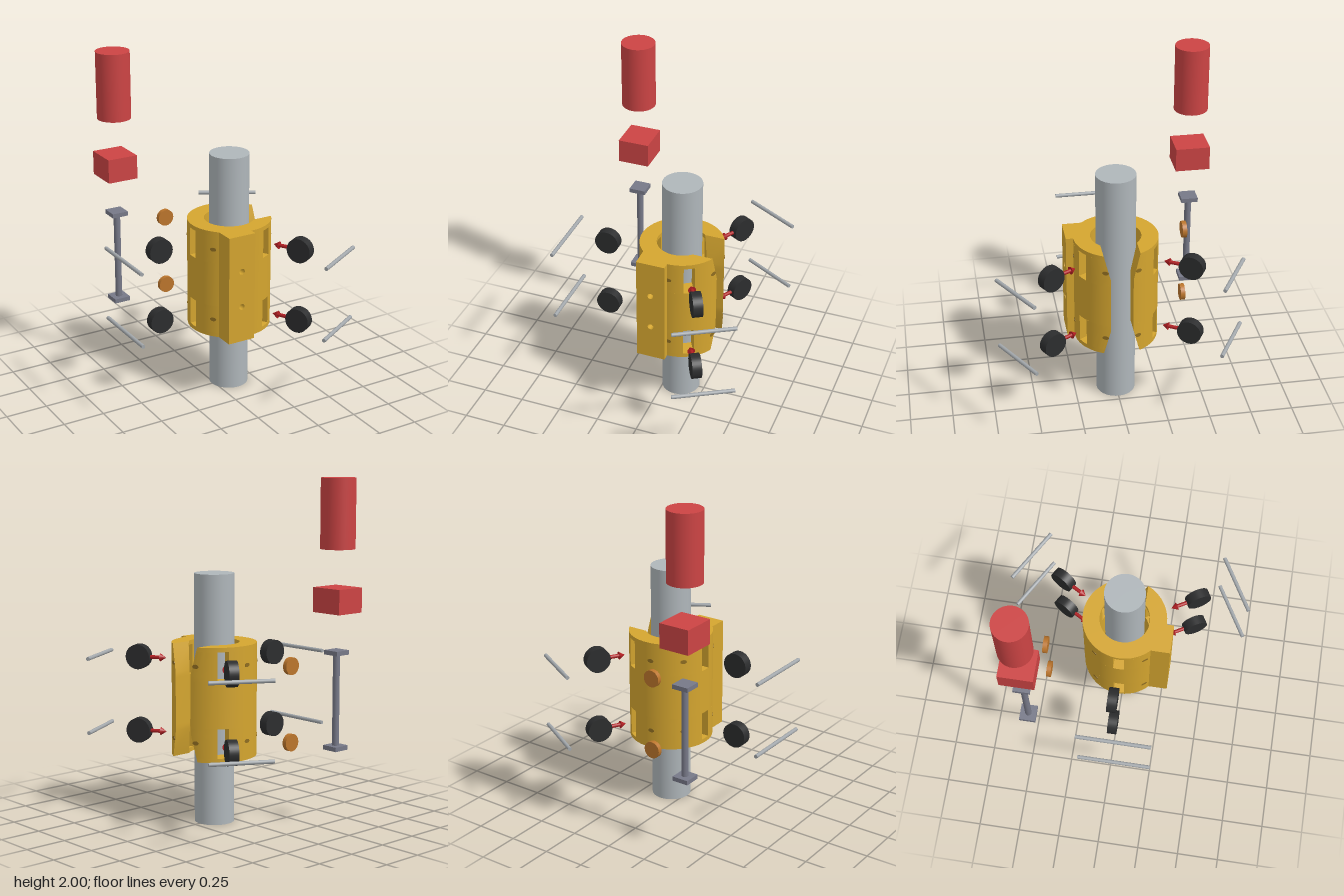
import * as THREE from 'three';
import { toCreasedNormals } from 'three/addons/utils/BufferGeometryUtils.js';

const mat = (name, color) => {
  const m = new THREE.MeshStandardMaterial({ color });
  m.name = name;
  return m;
};
const rad = THREE.MathUtils.degToRad;

// Shared layout: the pipe axis sits at x = CX
const CX = 0.1, R_OUT = 0.246, R_IN = 0.147;
const LEVELS = [0.51, 0.95];
const ARMS = [60, 180, 300];

// Split sleeve: ring with a flared slot at +x and three pairs of wheel windows
function sleeveGeometry() {
  const pos = [];
  const quad = (a, b, c, d) => [a, b, c, a, c, d].forEach(p => pos.push(...p));
  const slotHalf = y => 0.065 + 0.04 * Math.max(0, (Math.abs(y - 0.73) - 0.17) / 0.16);
  const W = 0.0325;
  const slotA = { deg: 0, off: slotHalf }, slotB = { deg: 360, off: y => -slotHalf(y) };
  const edge = (deg, off) => ({ deg, off: () => off });
  const solid = [[slotA, slotB]];
  const cut = [
    [slotA, edge(60, -W)], [edge(60, W), edge(180, -W)],
    [edge(180, W), edge(300, -W)], [edge(300, W), slotB],
  ];
  const ys = [0.4, 0.425, 0.56, 0.595, 0.865, 0.9, 1.035, 1.06];
  for (let k = 0; k < ys.length - 1; k++) {
    const y0 = ys[k], y1 = ys[k + 1], mid = (y0 + y1) / 2;
    const windowed = LEVELS.some(l => Math.abs(mid - l) < 0.085);
    for (const [e0, e1] of windowed ? cut : solid) {
      const n = Math.ceil((e1.deg - e0.deg) / 5);
      const point = (r, y, j) => {
        const a = rad(e0.deg) + Math.asin(e0.off(y) / r);
        const b = rad(e1.deg) + Math.asin(e1.off(y) / r);
        const t = a + (b - a) * j / n;
        return [CX + r * Math.cos(t), y, r * Math.sin(t)];
      };
      const corners = j => ({
        ob: point(R_OUT, y0, j), ib: point(R_IN, y0, j),
        ot: point(R_OUT, y1, j), it: point(R_IN, y1, j),
      });
      for (let j = 0; j < n; j++) {
        const p = corners(j), q = corners(j + 1);
        quad(q.ob, p.ob, p.ot, q.ot);
        quad(p.ib, q.ib, q.it, p.it);
        quad(p.ot, p.it, q.it, q.ot);
        quad(q.ob, q.ib, p.ib, p.ob);
      }
      const s = corners(0), f = corners(n);
      quad(s.ob, s.ib, s.it, s.ot);
      quad(f.ot, f.it, f.ib, f.ob);
    }
  }
  const g = new THREE.BufferGeometry();
  g.setAttribute('position', new THREE.Float32BufferAttribute(pos, 3));
  return toCreasedNormals(g, 0.5);
}

// Mounting block with two screw holes
function blockGeometry() {
  const s = new THREE.Shape();
  s.moveTo(-0.072, 0.4).lineTo(CX, 0.4).lineTo(CX, 1.06).lineTo(-0.072, 1.06).closePath();
  for (const y of [0.62, 0.84]) {
    s.holes.push(new THREE.Path().absarc(0.014, y, 0.018, 0, Math.PI * 2, true));
  }
  return new THREE.ExtrudeGeometry(s, { depth: 0.117, bevelEnabled: false, curveSegments: 16 })
    .translate(0, 0, 0.172);
}

export function createModel() {
  const model = new THREE.Group();
  const gold = mat('gold', 0xd4a52f), holeGold = mat('dark gold', 0x8f6d20);
  const pipeGrey = mat('pipe grey', 0xafb6ba), steel = mat('steel', 0xa2a7ab);
  const rubber = mat('black rubber', 0x2c2d2e), red = mat('red', 0xcc4444);
  const arrowRed = mat('deep red', 0xb01e22), bronze = mat('bronze', 0xbb752c);
  const slate = mat('slate', 0x777988);

  const add = (name, geo, material, x = 0, y = 0, z = 0, parent = model) => {
    const m = new THREE.Mesh(geo, material);
    m.name = name;
    m.position.set(x, y, z);
    parent.add(m);
    return m;
  };
  const cyl = (r, h, n = 32) => new THREE.CylinderGeometry(r, r, h, n);

  add('pipe', cyl(0.116, 1.457, 48), pipeGrey, CX, 0.7285, 0);
  add('sleeve', sleeveGeometry(), gold);
  add('mountingBlock', blockGeometry(), gold);

  // Wheel sets: each arm points outward along its local +x
  const wheelGeo = cyl(0.073, 0.056, 40).rotateX(Math.PI / 2);
  const shaftGeo = cyl(0.011, 0.09, 16).rotateZ(Math.PI / 2);
  const headGeo = new THREE.ConeGeometry(0.023, 0.036, 20).rotateZ(Math.PI / 2);
  const holeGeo = cyl(0.012, 0.004, 16).rotateZ(Math.PI / 2).scale(1, 1, 1.6);
  for (const deg of ARMS) {
    for (const y of LEVELS) {
      const arm = new THREE.Group();
      arm.name = 'wheelSet';
      arm.position.set(CX, y, 0);
      arm.rotation.y = -rad(deg);
      model.add(arm);
      const long = deg === 180;
      add('wheel', wheelGeo, rubber, 0.465, 0, 0, arm);
      add('axle', cyl(0.0115, long ? 0.44 : 0.362, 16).rotateX(Math.PI / 2), steel,
        0.713, 0, long ? -0.04 : 0, arm);
      if (!long) {
        add('arrowShaft', shaftGeo, arrowRed, 0.37, 0, 0, arm);
        add('arrowHead', headGeo, arrowRed, 0.313, 0, 0, arm);
      }
      // Axle holes on the sleeve either side of the window
      for (const side of [-1, 1]) {
        const spread = deg === 60 && side === 1 ? 28.5 : 37.3;
        const a = rad(deg + side * spread);
        const hole = add('axleHole', holeGeo, holeGold,
          CX + R_OUT * Math.cos(a), y, R_OUT * Math.sin(a));
        hole.rotation.y = -a;
      }
    }
  }

  // Bronze plugs behind the sleeve
  for (const y of LEVELS) {
    add('plug', cyl(0.05, 0.027).rotateX(Math.PI / 2), bronze, -0.088, y, -0.438);
  }

  // Spindle with square end plates
  const SX = -0.37, SZ = -0.523;
  add('spindle', cyl(0.02, 0.54, 24), slate, SX, 0.73, SZ);
  for (const y of [0.452, 1.008]) {
    add('spindlePlate', new THREE.BoxGeometry(0.1, 0.026, 0.1), slate, SX, y, SZ);
  }

  // Drive box and motor above
  add('gearBox', new THREE.BoxGeometry(0.187, 0.143, 0.203), red, SX, 1.31, SZ - 0.002);
  add('motor', cyl(0.1, 0.4, 48), red, SX, 1.8, SZ);

  return model;
}
